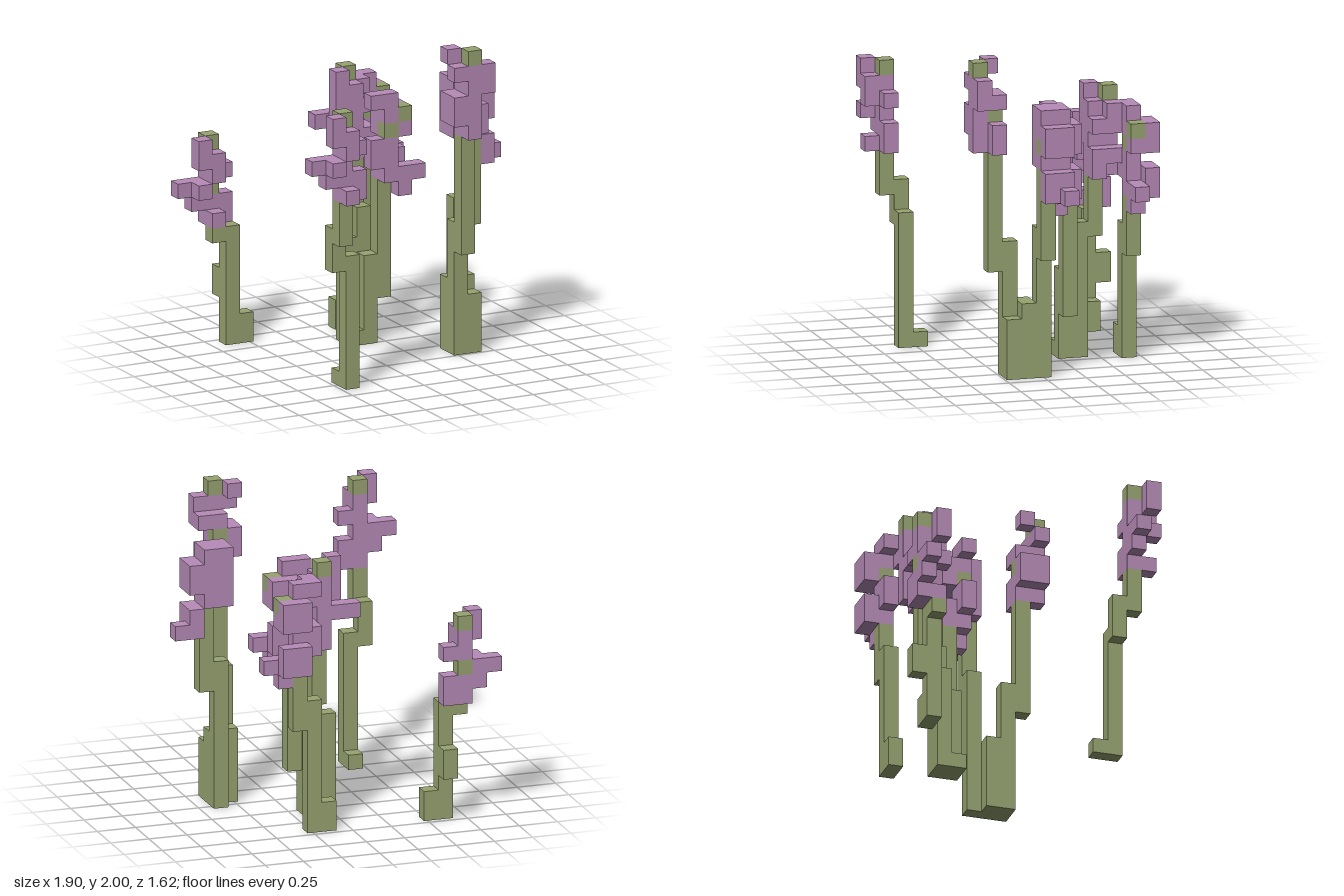
import * as THREE from 'three';
import { mergeGeometries } from 'three/addons/utils/BufferGeometryUtils.js';

// Block size; the bed is 20 x 21 x 17 blocks
const U = 2 / 21;

// Flower heads: runs [x, y, z, width, height, depth] of blocks (sizes default to 1),
// measured from the bottom of the head. Tips are green blocks showing through.
const spike = {
  petals: [[0, 0, 0, 1, 6], [-1, 4, 1, 1, 2], [0, 3, 1, 1, 2], [1, 3, 0], [-2, 2, 0, 2],
    [-1, 2, 1], [-1, 1, 0, 3], [1, 0, 0], [0, 0, 1]],
  tips: [[0, 5, 0]],
};
const openSpike = { petals: spike.petals, tips: [...spike.tips, [0, 2, 0]] };
const bush = {
  petals: [[0, 1, 0, 1, 6], [-1, 6, 0], [0, 4, -1, 2, 2], [1, 4, 0], [-1, 2, 0, 1, 2],
    [0, 1, -1, 2, 2], [1, 0, 0, 1, 2], [2, 1, 0]],
  tips: [[1, 5, 0], [0, 4, 0]],
};
const plume = {
  petals: [[0, 0, -1, 1, 5, 2], [-1, 2, 0, 1, 4], [1, 3, 0], [1, 3, -1, 1, 2], [-2, 2, -1, 2],
    [1, 0, 0, 1, 2], [1, 1, -1]],
  tips: [[0, 5, -1]],
};
const cluster = {
  petals: [[-1, 2, -1, 2, 4, 2], [1, 3, -1, 1, 2, 2], [1, 0, -1, 1, 2, 2], [2, 0, -1]],
  tips: [[0, 3, 0]],
};
const crown = {
  petals: [[0, 0, 0, 1, 4, 2], [-1, 5, 0], [-1, 4, 1, 3], [1, 3, 0, 1, 1, 2],
    [-1, 1, 0, 1, 2, 2], [1, 0, 0, 1, 2]],
  tips: [[0, 5, 1], [0, 2, 0]],
};

// The six block sides: direction and the turn that faces a plane that way
const sides = [
  [[0, 0, 1], [0, 0]], [[0, 0, -1], [0, Math.PI]],
  [[1, 0, 0], [0, Math.PI / 2]], [[-1, 0, 0], [0, -Math.PI / 2]],
  [[0, 1, 0], [-Math.PI / 2, 0]], [[0, -1, 0], [Math.PI / 2, 0]],
];

function fill(blocks, part, x, y, z, w = 1, h = 1, d = 1) {
  for (let i = x; i < x + w; i++)
    for (let j = y; j < y + h; j++)
      for (let k = z; k < z + d; k++) blocks.set([i, j, k].join(), part);
}

// Skin of all blocks of one part, leaving out sides covered by a neighbour
function skin(blocks, part) {
  const faces = [];
  for (const [key, kind] of blocks) {
    if (kind !== part) continue;
    const [x, y, z] = key.split(',').map(Number);
    for (const [[dx, dy, dz], [rx, ry]] of sides) {
      if (blocks.has([x + dx, y + dy, z + dz].join())) continue;
      faces.push(new THREE.PlaneGeometry(U, U).rotateX(rx).rotateY(ry).translate(
        (x - 9.5 + dx / 2) * U, (y + 0.5 + dy / 2) * U, (z - 8 + dz / 2) * U));
    }
  }
  return mergeGeometries(faces);
}

export function createModel() {
  const materials = {
    stem: new THREE.MeshStandardMaterial({ name: 'stemGreen', color: 0x98a471 }),
    petals: new THREE.MeshStandardMaterial({ name: 'petalPurple', color: 0xb78bb8 }),
  };
  const model = new THREE.Group();
  model.name = 'flowerBed';

  // A stem is a chain of posts [x, z, top, bottom]; a post starts where the last ended
  // unless it has its own bottom. The head sits at [x, y, z].
  function plant(name, posts, [hx, hy, hz], head) {
    const blocks = new Map();
    let reached = 0;
    for (const [x, z, top, bottom = reached] of posts) {
      fill(blocks, 'stem', x, bottom, z, 1, top - bottom + 1);
      reached = top;
    }
    const addHead = (runs, part) => runs.forEach(([x, y, z, ...size]) =>
      fill(blocks, part, hx + x, hy + y, hz + z, ...size));
    addHead(head.petals, 'petals');
    addHead(head.tips, 'stem');

    const flower = new THREE.Group();
    flower.name = name;
    for (const part of ['stem', 'petals']) {
      const mesh = new THREE.Mesh(skin(blocks, part), materials[part]);
      mesh.name = part;
      flower.add(mesh);
    }
    model.add(flower);
  }

  plant('frontFlower', [[5, 13, 0], [5, 14, 8], [4, 14, 10], [4, 15, 12]], [4, 13, 15], spike);
  plant('backCornerFlower', [[4, 1, 1], [3, 1, 7, 0], [3, 0, 4, 3], [2, 1, 7, 7]], [2, 8, 0], openSpike);
  plant('backFlower', [[11, 1, 1], [12, 1, 8, 0], [13, 1, 10, 7]], [13, 10, 1], bush);
  plant('middleFlower', [[11, 5, 5], [12, 5, 10, 3]], [12, 10, 6], bush);
  plant('innerBackFlower', [[10, 5, 0], [10, 4, 6], [11, 4, 8, 0], [11, 3, 11]], [11, 12, 3], plume);
  plant('sideFlower', [[16, 9, 4], [16, 8, 9, 0], [17, 8, 13, 8]], [17, 12, 8], cluster);
  plant('tallFlower', [[16, 10, 3], [15, 9, 4, 0], [15, 10, 8, 0], [15, 11, 14, 7]], [15, 15, 11], crown);
  return model;
}
